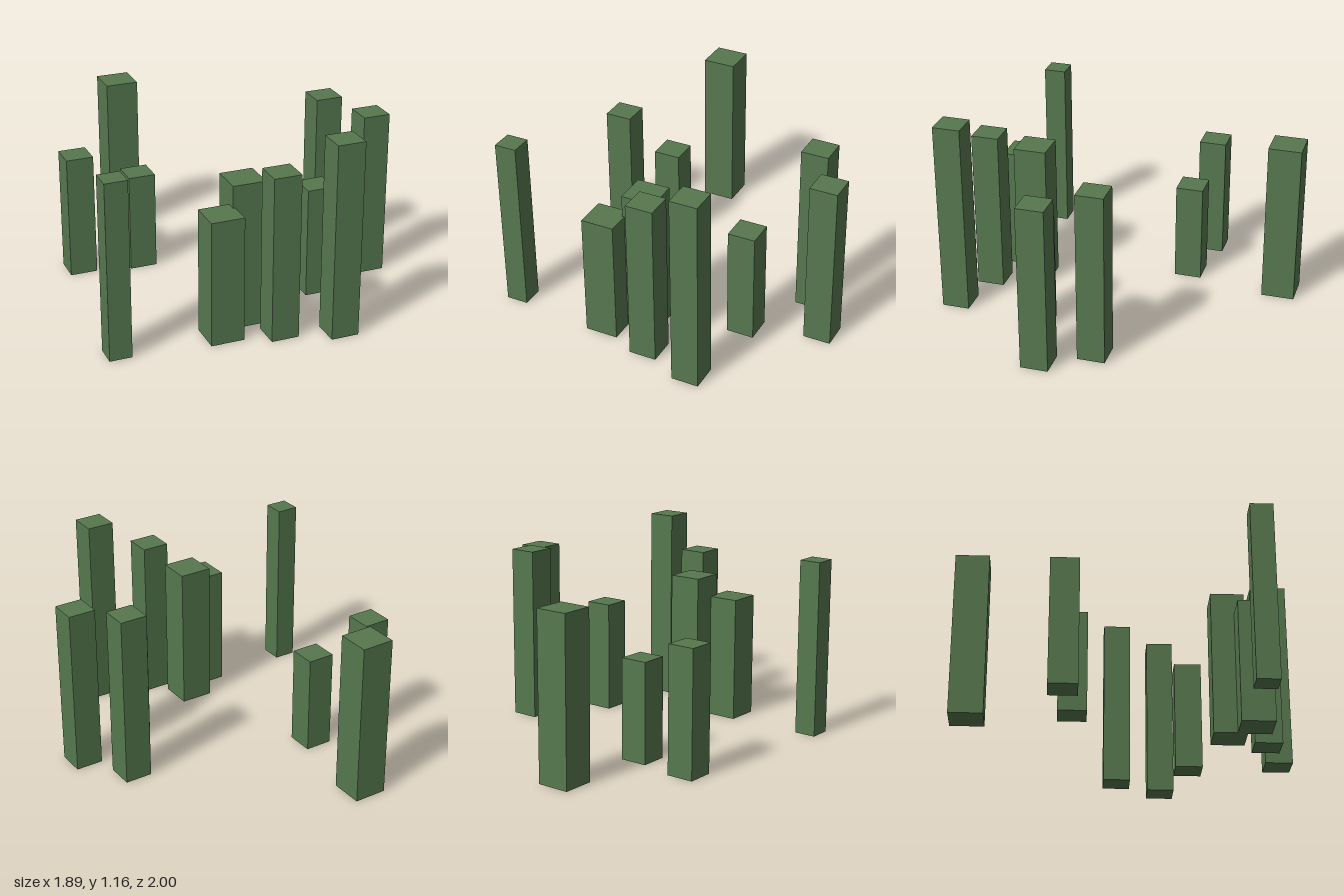
import * as THREE from 'three';

// Each pillar: centre x, centre z, side width, height
const PILLARS = [
  [-0.316, -0.902, 0.196, 0.977],
  [-0.757, -0.372, 0.163, 0.747],
  [-0.394, -0.319, 0.163, 0.597],
  [0.689, -0.033, 0.163, 1.037],
  [0.860, 0.246, 0.163, 1.002],
  [0.443, 0.390, 0.163, 0.669],
  [-0.092, 0.581, 0.196, 0.877],
  [-0.274, 0.718, 0.196, 0.747],
  [-0.879, 0.697, 0.131, 1.051],
  [0.037, 0.816, 0.163, 0.984],
  [0.356, 0.918, 0.163, 1.164],
];

export function createModel() {
  const group = new THREE.Group();
  group.name = 'pillarField';

  const green = new THREE.MeshStandardMaterial({ color: 0x56784f });
  green.name = 'mossGreen';

  // Square pillars standing on the ground
  PILLARS.forEach(([x, z, width, height], i) => {
    const pillar = new THREE.Mesh(new THREE.BoxGeometry(width, height, width), green);
    pillar.name = `pillar${i + 1}`;
    pillar.position.set(x, height / 2, z);
    group.add(pillar);
  });

  return group;
}
